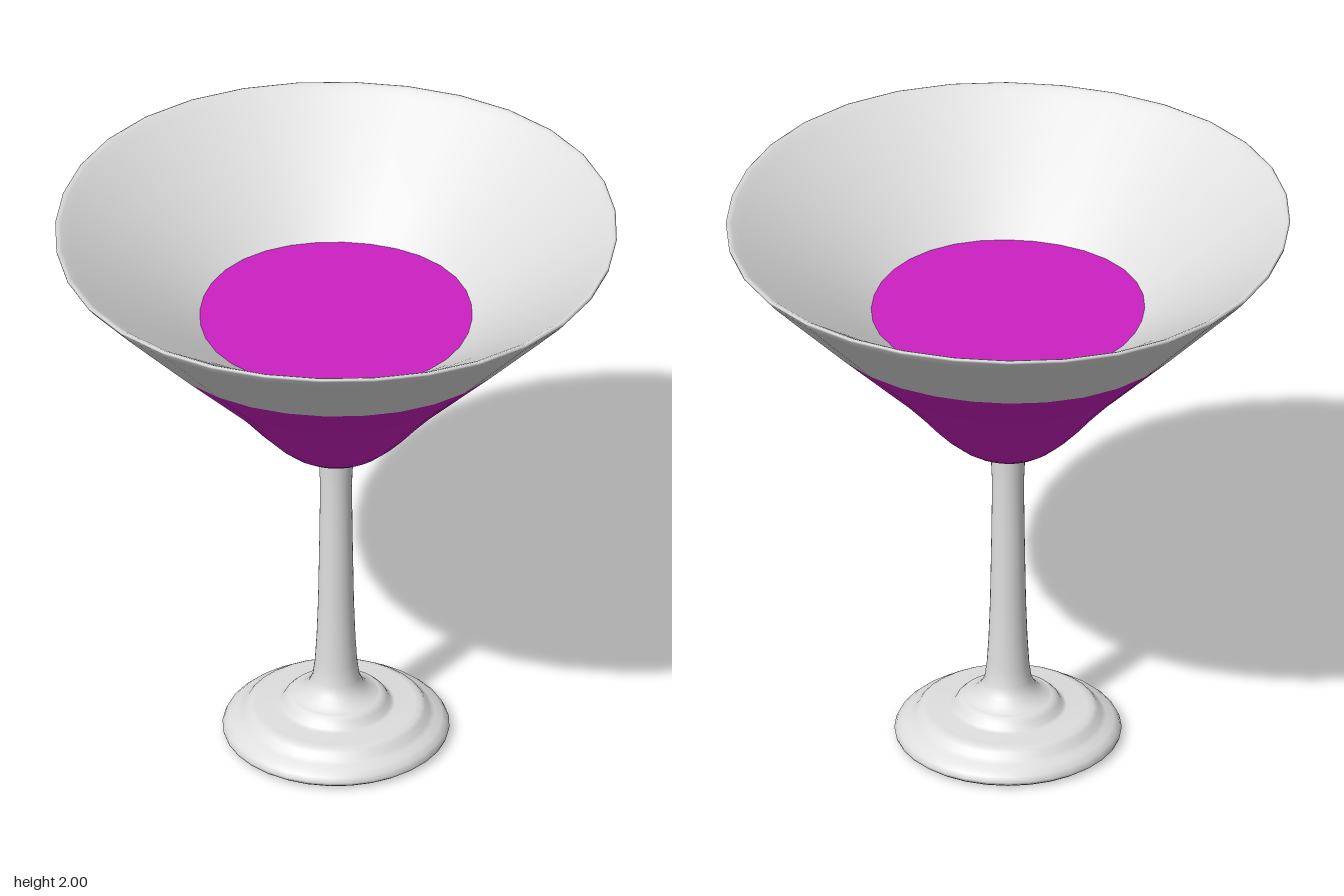
import * as THREE from 'three';

const SEGMENTS = 32;

// Swell the outline slightly on the diagonals so the bowl is a soft square
function soften(geometry) {
  const p = geometry.attributes.position;
  for (let i = 0; i < p.count; i++) {
    const x = p.getX(i), z = p.getZ(i);
    const s = 1 + 0.022 * Math.sin(2 * Math.atan2(z, x)) ** 2;
    p.setXYZ(i, x * s, p.getY(i), z * s);
  }
  return geometry;
}

// Revolve [radius, height] pairs, listed so that the surface faces outwards
function lathe(profile) {
  return new THREE.LatheGeometry(profile.map(([r, y]) => new THREE.Vector2(r, y)), SEGMENTS);
}

export function createModel() {
  const glass = new THREE.MeshStandardMaterial({ name: 'clear glass', color: 0xdedede });
  const drink = new THREE.MeshStandardMaterial({ name: 'purple drink', color: 0xcc20c2 });
  const model = new THREE.Group();
  model.name = 'cocktailGlass';

  function add(name, geometry, material) {
    const mesh = new THREE.Mesh(geometry, material);
    mesh.name = name;
    model.add(mesh);
  }

  // Flat underside of the foot
  add('footUnderside', lathe([[0, 0], [0.37, 0.005]]), glass);

  // Stepped foot: wide plate, then a smaller rounded step
  add('foot', lathe([
    [0.37, 0.005], [0.383, 0.015], [0.386, 0.025], [0.378, 0.042], [0.36, 0.058],
    [0.335, 0.066], [0.318, 0.078], [0.305, 0.096], [0.29, 0.105], [0.27, 0.108],
    [0.2, 0.11], [0.186, 0.116], [0.175, 0.135], [0.16, 0.149], [0.145, 0.152],
  ]), glass);

  // Stem flaring into the foot
  add('stem', lathe([
    [0.145, 0.152], [0.12, 0.163], [0.095, 0.187], [0.08, 0.22], [0.072, 0.28],
    [0.066, 0.38], [0.061, 0.52], [0.057, 0.75], [0.054, 0.98], [0.057, 1.05], [0.058, 1.108],
  ]), glass);

  // Small glass collar under the bowl
  add('bowlCollar', lathe([[0.05, 1.106], [0.08, 1.109], [0.105, 1.118]]), glass);

  // Filled lower bowl
  add('filledBowl', soften(lathe([
    [0.102, 1.117], [0.135, 1.13], [0.175, 1.158], [0.225, 1.204], [0.28, 1.265],
    [0.335, 1.332], [0.395, 1.4], [0.48, 1.487], [0.57, 1.58], [0.65, 1.662],
  ])), drink);

  // Upper bowl: outer wall, thin rounded rim and inner wall
  add('upperBowl', soften(lathe([
    [0.65, 1.662], [0.75, 1.768], [0.85, 1.874], [0.93, 1.96], [0.953, 1.988],
    [0.955, 1.997], [0.948, 2], [0.935, 1.994], [0.91, 1.977], [0.83, 1.922],
    [0.7, 1.832], [0.57, 1.74], [0.46, 1.66],
  ])), glass);

  // Surface of the drink
  const surface = new THREE.CircleGeometry(0.463, SEGMENTS).rotateX(-Math.PI / 2);
  add('drinkSurface', soften(surface.translate(0, 1.663, 0)), drink);

  return model;
}
